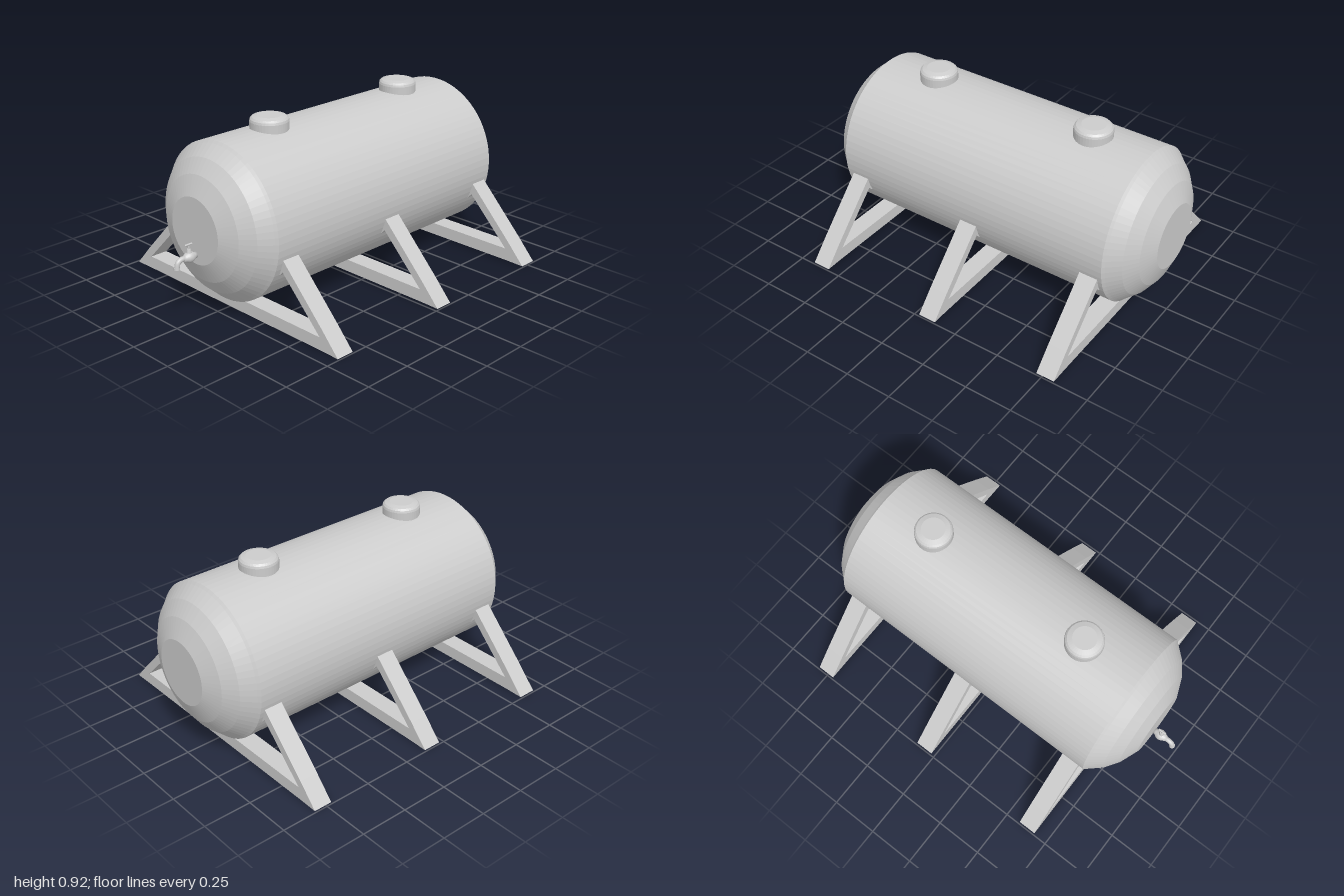
import * as THREE from 'three';

const flat = new THREE.MeshStandardMaterial({ color: 0xcccccc, flatShading: true });
const smooth = new THREE.MeshStandardMaterial({ color: 0xcccccc });
const AXIS_Y = 0.46;

function add(parent, name, geometry, material = flat) {
  const mesh = new THREE.Mesh(geometry, material);
  mesh.name = name;
  parent.add(mesh);
  return mesh;
}

// Lathe from [radius, height] pairs, listed from bottom to top
function lathe(pairs, segments) {
  return new THREE.LatheGeometry(pairs.map(([r, h]) => new THREE.Vector2(r, h)), segments);
}

// Welded triangular cradle: a base bar and two sloping struts, with an open middle
function cradleGeometry(depth) {
  const shape = new THREE.Shape();
  const outline = [
    [-0.74, 0], [-0.64, 0.002], [0.64, 0.002], [0.74, 0], [0.64, 0.11], [0.385, 0.375],
    [0.33, 0.375], [0.33, 0.255], [0.385, 0.31], [0.625, 0.067],
    [-0.625, 0.067], [-0.385, 0.31], [-0.33, 0.255], [-0.33, 0.375], [-0.385, 0.375], [-0.64, 0.11],
  ];
  shape.setFromPoints(outline.map(([x, y]) => new THREE.Vector2(x, y)));
  const geometry = new THREE.ExtrudeGeometry(shape, { depth, bevelEnabled: false });
  return geometry.translate(0, 0, -depth / 2);
}

// Tap: turned body, curved spout, and stem with a T handle
function makeTap() {
  const tap = new THREE.Group();
  tap.name = 'tap';
  const body = lathe([
    [0, 0], [0.016, 0], [0.016, 0.012], [0.024, 0.022], [0.028, 0.038],
    [0.025, 0.052], [0.018, 0.064], [0.014, 0.075], [0, 0.075],
  ], 20);
  add(tap, 'tapBody', body.rotateX(Math.PI / 2), smooth);

  const path = new THREE.CatmullRomCurve3([
    new THREE.Vector3(0, 0, 0.055), new THREE.Vector3(0, 0.002, 0.085),
    new THREE.Vector3(0, -0.008, 0.106), new THREE.Vector3(0, -0.036, 0.115),
  ]);
  add(tap, 'spout', new THREE.TubeGeometry(path, 14, 0.013, 14), smooth);
  const mouth = add(tap, 'spoutMouth', new THREE.CylinderGeometry(0.014, 0.015, 0.012, 14), smooth);
  mouth.position.set(0, -0.034, 0.115);

  const collar = add(tap, 'stemCollar', new THREE.CylinderGeometry(0.009, 0.014, 0.02, 14), smooth);
  collar.position.set(0, 0.032, 0.04);
  const stem = add(tap, 'stem', new THREE.CylinderGeometry(0.004, 0.005, 0.04, 10), smooth);
  stem.position.set(0, 0.048, 0.04);
  const handle = add(tap, 'handle', new THREE.CapsuleGeometry(0.005, 0.034, 4, 10), smooth);
  handle.rotation.x = Math.PI / 2;
  handle.position.set(0, 0.064, 0.04);
  return tap;
}

export function createModel() {
  const model = new THREE.Group();
  model.name = 'storageTank';

  // Tank shell with stepped domed ends, lying along z
  const dome = [[0, 0.935], [0.167, 0.935], [0.265, 0.895], [0.335, 0.845], [0.388, 0.784], [0.4, 0.772]];
  const profile = [...dome.map(([r, h]) => [r, -h]), ...[...dome].reverse()];
  const tank = add(model, 'tankShell', lathe(profile, 72));
  tank.rotation.x = Math.PI / 2;
  tank.position.set(0, AXIS_Y, -0.065);

  // Three support cradles
  const cradle = cradleGeometry(0.097);
  for (const z of [-0.765, -0.07, 0.625]) {
    add(model, 'supportCradle', cradle).position.z = z;
  }

  // Two round hatches on top
  const hatch = lathe([
    [0, 0.8], [0.097, 0.8], [0.097, 0.893], [0.094, 0.904], [0.085, 0.913], [0.06, 0.92], [0, 0.92],
  ], 40);
  for (const z of [0.39, -0.53]) {
    add(model, 'hatch', hatch).position.z = z;
  }

  const tap = makeTap();
  tap.position.set(0, 0.34, 0.869);
  model.add(tap);

  return model;
}
